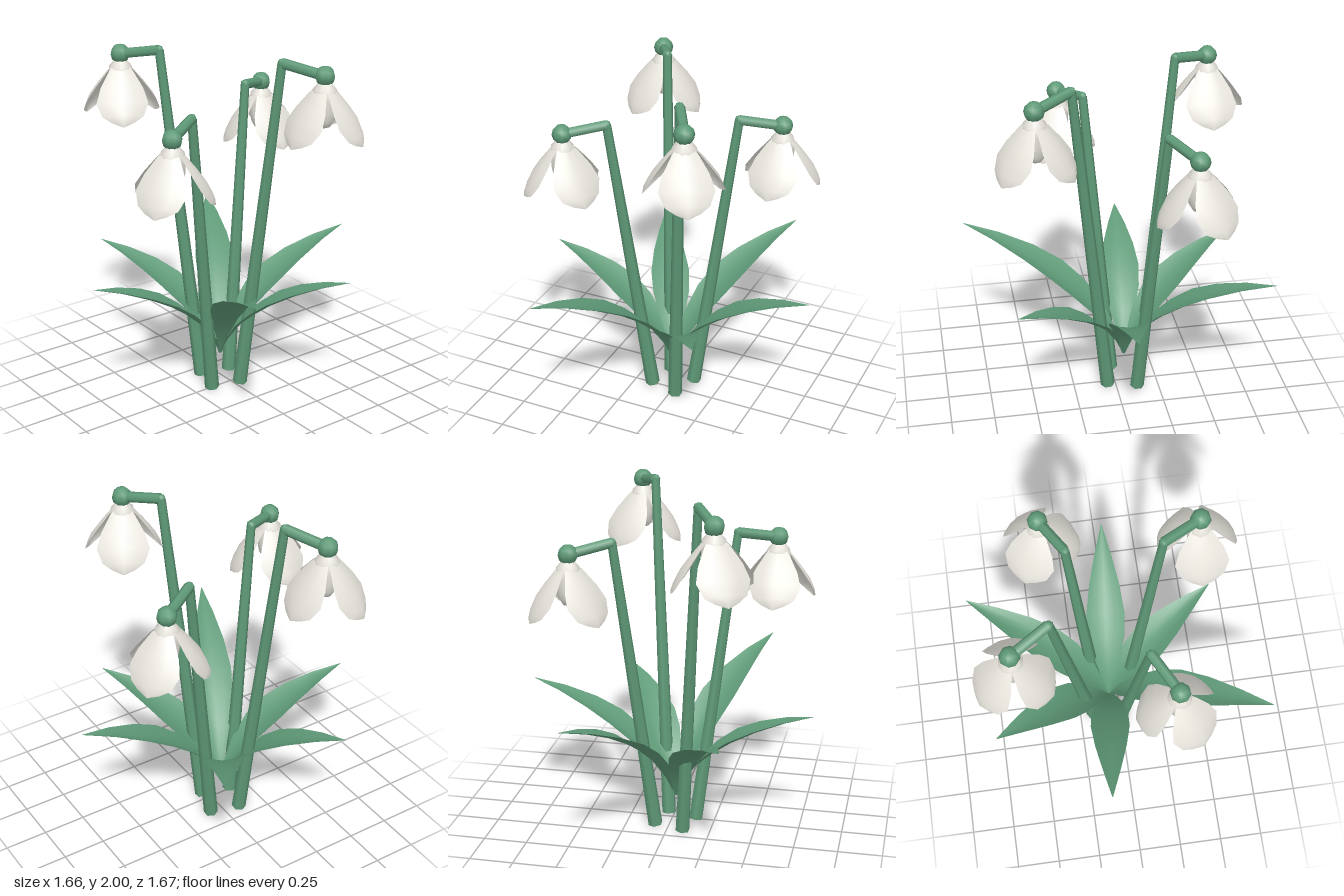
import * as THREE from 'three';

const CX = -0.03, CZ = -0.06; // centre of the clump
const UP = new THREE.Vector3(0, 1, 0);

// Curved blade running along +x: rows of [reach, height, half width],
// with its edges shifted by cup = [dx, dy] where it is widest.
function blade(rows, cup, cols = 4) {
  const pos = [], idx = [];
  const wMax = Math.max(...rows.map((r) => r[2]));
  rows.forEach(([x, y, w], i) => {
    for (let j = 0; j <= cols; j++) {
      const u = (j / cols) * 2 - 1;
      const k = u * u * (w / wMax);
      pos.push(x + cup[0] * k, y + cup[1] * k, u * w);
      if (i < rows.length - 1 && j < cols) {
        const a = i * (cols + 1) + j, b = a + 1, c = a + cols + 1, d = c + 1;
        idx.push(a, b, c, b, d, c);
      }
    }
  });
  const g = new THREE.BufferGeometry();
  g.setAttribute('position', new THREE.Float32BufferAttribute(pos, 3));
  g.setIndex(idx);
  g.computeVertexNormals();
  return g;
}

// Tapered six-sided rod between two points
function rod(a, b, r0, r1, material, name) {
  const dir = b.clone().sub(a);
  const mesh = new THREE.Mesh(new THREE.CylinderGeometry(r1, r0, dir.length(), 6), material);
  mesh.position.copy(a).addScaledVector(dir, 0.5);
  mesh.quaternion.setFromUnitVectors(UP, dir.normalize());
  mesh.name = name;
  return mesh;
}

// Point at a distance and compass angle from the clump centre
const around = (deg, r, y) => {
  const a = THREE.MathUtils.degToRad(deg);
  return new THREE.Vector3(CX + Math.cos(a) * r, y, CZ + Math.sin(a) * r);
};

export function createModel() {
  const model = new THREE.Group();
  model.name = 'floweringPlant';
  const green = new THREE.MeshStandardMaterial({ color: 0x5f9a78, side: THREE.DoubleSide });
  green.name = 'leafGreen';
  const white = new THREE.MeshStandardMaterial({ color: 0xe8e5dd, side: THREE.DoubleSide });
  white.name = 'petalWhite';

  const petalGeo = blade([
    [0.01, -0.03, 0.02], [0.065, -0.085, 0.07], [0.125, -0.16, 0.12],
    [0.175, -0.23, 0.145], [0.21, -0.3, 0.115], [0.222, -0.335, 0.065], [0.225, -0.365, 0.004],
  ], [-0.035, -0.02]);
  const heartGeo = new THREE.LatheGeometry([
    [0, -0.29], [0.035, -0.277], [0.057, -0.24], [0.066, -0.19],
    [0.07, -0.12], [0.064, -0.07], [0.03, -0.03],
  ].map(([x, y]) => new THREE.Vector2(x, y)), 10);
  const budGeo = new THREE.SphereGeometry(0.056, 8, 6);

  // Four nodding flowers on leaning stems, alternately tall and short
  [[60, 1.97], [150, 1.72], [240, 1.97], [330, 1.72]].forEach(([deg, top]) => {
    const foot = around(deg, 0.125, 0.005);
    const elbow = around(deg, 0.365, top);
    const tip = around(deg, 0.61, top - 0.045);
    model.add(rod(foot, elbow, 0.042, 0.025, green, 'stem'));
    model.add(rod(elbow, tip, 0.029, 0.029, green, 'flowerStalk'));
    const joint = new THREE.Mesh(new THREE.SphereGeometry(0.026, 6, 4), green);
    joint.position.copy(elbow);
    joint.name = 'stemJoint';
    model.add(joint);

    const flower = new THREE.Group();
    flower.name = 'flower';
    flower.position.copy(tip);
    flower.rotation.y = -THREE.MathUtils.degToRad(deg);
    const bud = new THREE.Mesh(budGeo, green);
    bud.name = 'flowerCap';
    const heart = new THREE.Mesh(heartGeo, white);
    heart.name = 'flowerHeart';
    flower.add(bud, heart);
    for (let i = 0; i < 3; i++) {
      const petal = new THREE.Mesh(petalGeo, white);
      petal.name = 'petal';
      petal.rotation.y = (i * Math.PI * 2) / 3;
      flower.add(petal);
    }
    model.add(flower);
  });

  // Six arching leaves: compass angle, reach, tip height
  const profile = [
    [0, 0, 0.012], [0.06, 0.17, 0.035], [0.16, 0.36, 0.075], [0.29, 0.52, 0.108],
    [0.43, 0.66, 0.115], [0.6, 0.79, 0.092], [0.8, 0.91, 0.05], [1, 1, 0.002],
  ];
  [[5, 0.865, 0.81], [58, 0.78, 0.745], [116, 0.99, 0.91],
    [186, 0.805, 0.76], [242, 0.79, 0.76], [301, 0.91, 0.84]].forEach(([deg, reach, top]) => {
    const rows = profile.map(([t, h, w]) => [t * reach, h * (top - 0.17), w]);
    const leaf = new THREE.Mesh(blade(rows, [-0.01, 0.03]), green);
    leaf.name = 'leaf';
    leaf.position.set(CX, 0.17, CZ);
    leaf.rotation.y = -THREE.MathUtils.degToRad(deg);
    model.add(leaf);
  });
  return model;
}
